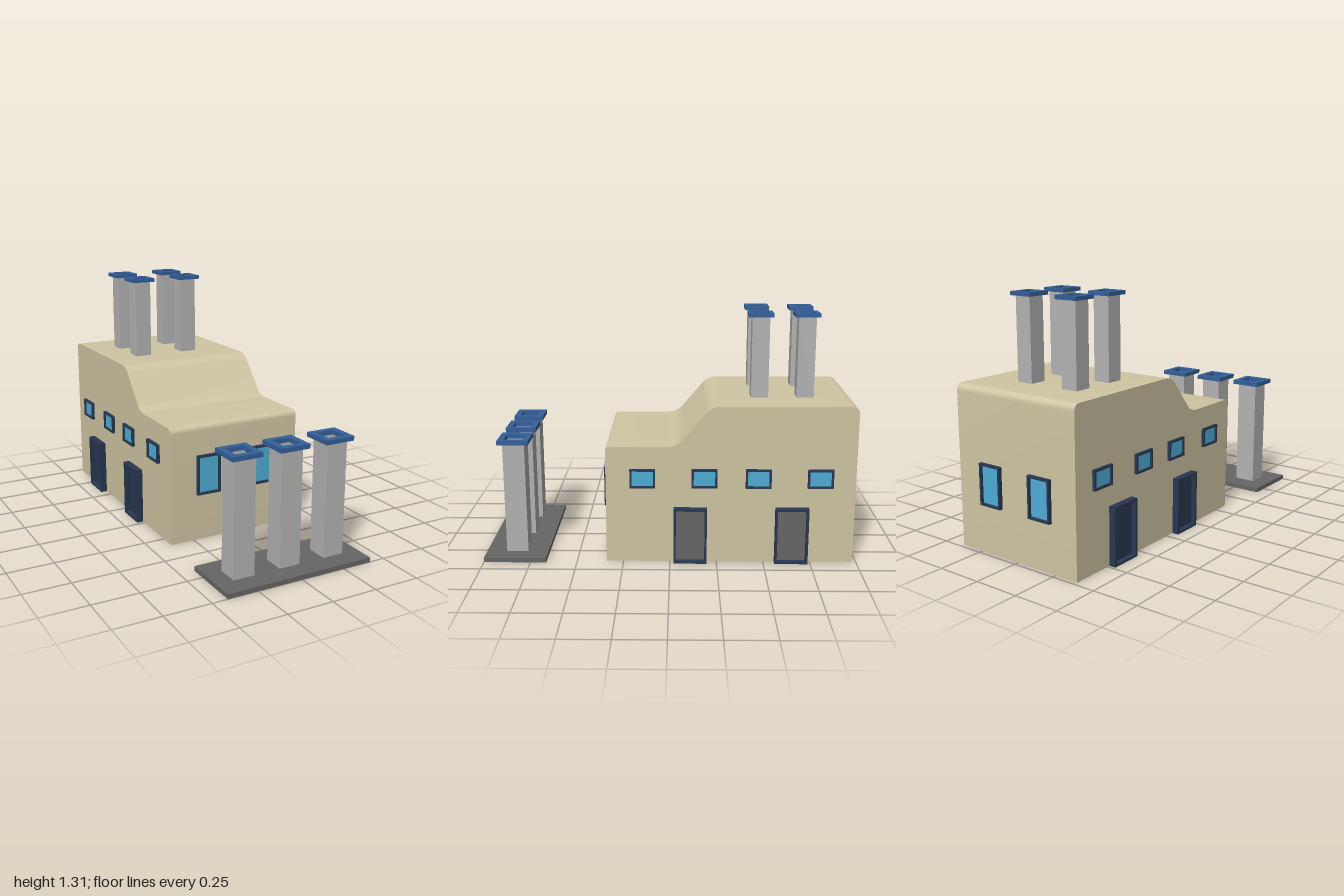
import * as THREE from 'three';
import { toCreasedNormals } from 'three/addons/utils/BufferGeometryUtils.js';

const paint = (color) => new THREE.MeshStandardMaterial({ color });
const tan = paint(0xcfc6a3);
const grey = paint(0xb4b4b4);
const darkGrey = paint(0x666666);
const blue = paint(0x34609a);
const navy = paint(0x2a3752);
const glass = paint(0x4fadd6);

function add(parent, name, geometry, material, x = 0, y = 0, z = 0) {
  const mesh = new THREE.Mesh(geometry, material);
  mesh.name = name;
  mesh.position.set(x, y, z);
  parent.add(mesh);
  return mesh;
}

// Rectangular ring in the xy plane, extruded along +z
function ring(w, h, iw, ih, depth) {
  const rect = (path, a, b) => path.moveTo(-a / 2, -b / 2).lineTo(a / 2, -b / 2)
    .lineTo(a / 2, b / 2).lineTo(-a / 2, b / 2).closePath();
  const shape = rect(new THREE.Shape(), w, h);
  shape.holes.push(rect(new THREE.Path(), iw, ih));
  return new THREE.ExtrudeGeometry(shape, { depth, bevelEnabled: false });
}

// Framed opening facing +z, its base at y = 0 on the wall plane
function opening(name, w, h, border, out, inset, panelMaterial) {
  const group = new THREE.Group();
  group.name = name;
  add(group, 'frame', ring(w, h, w - 2 * border, h - 2 * border, out), navy, 0, h / 2, 0);
  add(group, 'panel', new THREE.BoxGeometry(w - border, h - border, inset), panelMaterial, 0, h / 2, inset / 2);
  return group;
}

// Square hollow chimney with a projecting rim
function chimney(name, width, rimWidth, bore, y0, y1, rimHeight, x, z) {
  const group = new THREE.Group();
  group.name = name;
  group.position.set(x, 0, z);
  const bottom = y0 - 0.01;
  const shaft = ring(width, width, bore, bore, y1 - rimHeight - bottom).rotateX(-Math.PI / 2);
  add(group, 'shaft', shaft, grey, 0, bottom, 0);
  const rim = ring(rimWidth, rimWidth, bore, bore, rimHeight).rotateX(-Math.PI / 2);
  add(group, 'rim', rim, blue, 0, y1 - rimHeight, 0);
  add(group, 'flueFloor', new THREE.BoxGeometry(bore, 0.01, bore), grey, 0, y1 - 0.2, 0);
  return group;
}

export function createModel() {
  const model = new THREE.Group();
  model.name = 'factory';

  // Hall: side profile (z, y) swept across the width
  const halfWidth = 0.385, front = 0.34, back = -0.98;
  const profile = new THREE.Shape();
  profile.moveTo(back, 0);
  profile.lineTo(front, 0);
  profile.lineTo(front, 0.61);
  profile.quadraticCurveTo(front, 0.64, 0.31, 0.64);
  profile.lineTo(0.02, 0.64);
  profile.quadraticCurveTo(-0.03, 0.64, -0.06, 0.672);
  profile.lineTo(-0.185, 0.818);
  profile.quadraticCurveTo(-0.215, 0.857, -0.27, 0.857);
  profile.lineTo(-0.94, 0.857);
  profile.quadraticCurveTo(back, 0.857, back, 0.817);
  profile.closePath();
  let hall = new THREE.ExtrudeGeometry(profile, { depth: 2 * halfWidth, bevelEnabled: false, curveSegments: 8 });
  hall.translate(0, 0, -halfWidth).rotateY(-Math.PI / 2);
  hall = toCreasedNormals(hall, 0.6);
  add(model, 'hall', hall, tan);

  // Side windows and doors on both long walls
  for (const side of [1, -1]) {
    const label = side > 0 ? 'left' : 'right';
    const place = (part, y, z) => {
      part.position.set(side * halfWidth, y, z);
      part.rotation.y = side * Math.PI / 2;
      model.add(part);
    };
    for (const z of [0.145, -0.182, -0.467, -0.793]) {
      place(opening(label + 'Window', 0.135, 0.103, 0.011, 0.016, 0.006, glass), 0.418, z);
    }
    for (const z of [-0.108, -0.648]) {
      place(opening(label + 'Door', 0.177, 0.308, 0.012, 0.036, 0.008, side > 0 ? darkGrey : navy), 0, z);
    }
  }

  // Tall windows on the front and back walls
  for (const x of [-0.165, 0.16]) {
    const frontWindow = opening('frontWindow', 0.137, 0.218, 0.011, 0.02, 0.006, glass);
    frontWindow.position.set(x, 0.258, front);
    const backWindow = opening('backWindow', 0.137, 0.218, 0.011, 0.02, 0.006, glass);
    backWindow.position.set(x, 0.258, back);
    backWindow.rotation.y = Math.PI;
    model.add(frontWindow, backWindow);
  }

  // Four roof chimneys
  for (const x of [-0.174, 0.118]) {
    for (const z of [-0.48, -0.725]) {
      model.add(chimney('roofChimney', 0.093, 0.132, 0.08, 0.857, 1.31, 0.02, x, z));
    }
  }

  // Separate slab with three chimneys in front
  add(model, 'slab', new THREE.BoxGeometry(0.83, 0.025, 0.335), darkGrey, -0.002, 0.0125, 0.8325);
  for (const x of [-0.265, -0.002, 0.26]) {
    model.add(chimney('yardChimney', 0.117, 0.166, 0.1, 0.025, 0.658, 0.024, x, 0.833));
  }

  return model;
}
